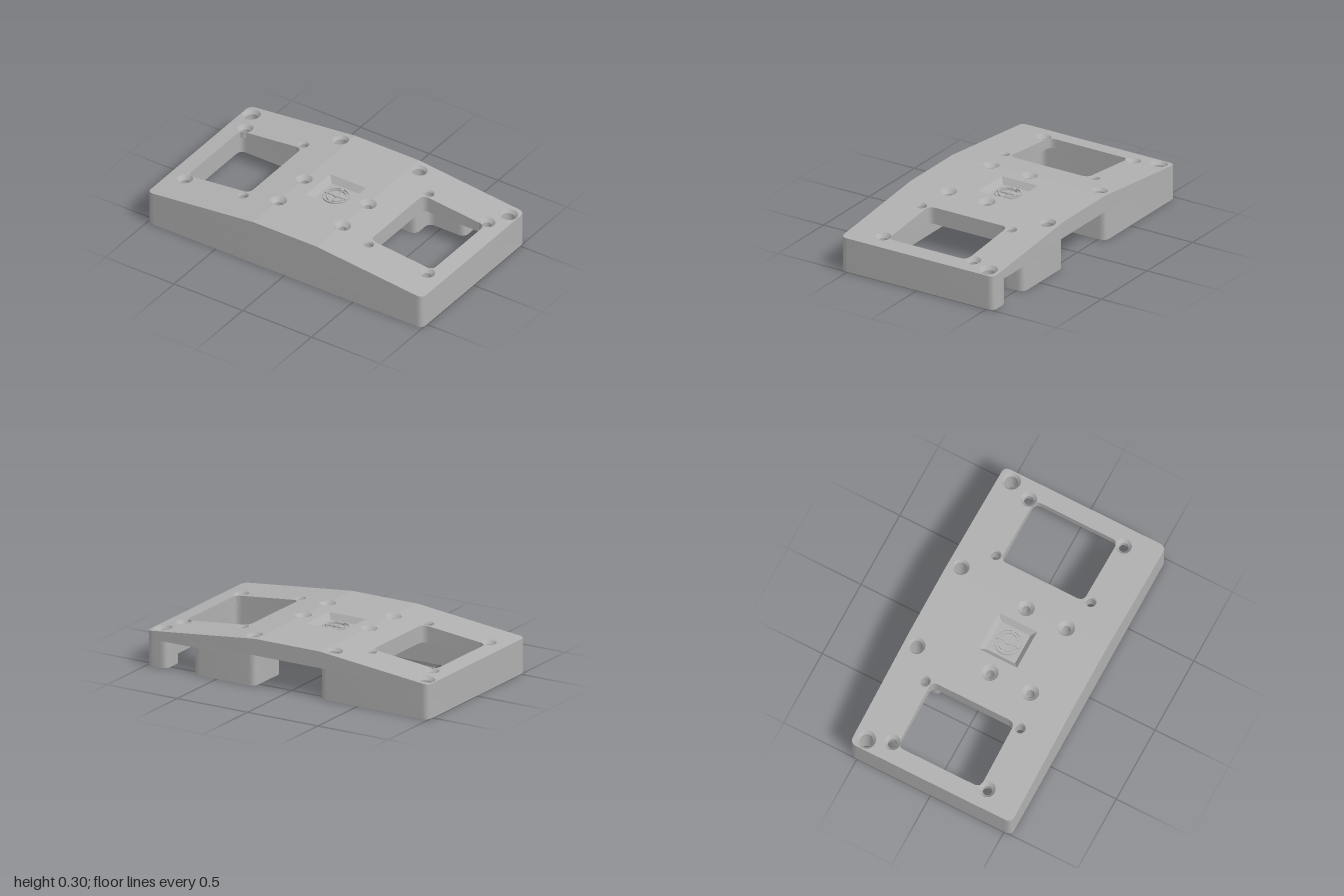
import * as THREE from 'three';
import { toCreasedNormals } from 'three/addons/utils/BufferGeometryUtils.js';

const CEILING = 0.17, MID = 0.195, TOP = 0.3, BEND = 0.23;
const drop = x => Math.max(0, Math.abs(x) - BEND) * 0.08 / (1 - BEND);

// Plan coordinates are [x, v] with v = -z, so the back edge is v = 0.55.
// Screw holes: x, v, countersink radius, bore radius, goes through the walls
const holes = [];
for (const s of [-1, 1]) {
  holes.push([s * 0.935, 0.47, 0.058, 0.04, true], [s * 0.285, 0.47, 0.052, 0.038, true]);
  for (const t of [-1, 1]) {
    holes.push([s * 0.88, t * 0.323, 0.05, 0.029, false], [s * 0.456, t * 0.323, 0.034, 0.027, false]);
  }
  holes.push([s * 0.233, 0, 0.053, 0.025, false], [s * 0.233, -0.275, 0.053, 0.025, false]);
}

// Closed outline with rounded corners
function rounded(points, r, path = new THREE.Shape()) {
  const pts = points.map(p => new THREE.Vector2(...p));
  pts.forEach((p, i) => {
    const prev = pts[(i + pts.length - 1) % pts.length], next = pts[(i + 1) % pts.length];
    const a = prev.clone().sub(p).setLength(r).add(p);
    const b = next.clone().sub(p).setLength(r).add(p);
    if (i) path.lineTo(a.x, a.y); else path.moveTo(a.x, a.y);
    path.quadraticCurveTo(p.x, p.y, b.x, b.y);
  });
  path.closePath();
  return path;
}
const rect = (x0, x1, v0, v1) => [[x0, v0], [x1, v0], [x1, v1], [x0, v1]];

function drill(shape, x, v, r) {
  const p = new THREE.Path();
  p.absarc(x, v, r, 0, Math.PI * 2, true);
  shape.holes.push(p);
}

// Extrude a plan shape between two heights
function layer(shape, y0, y1) {
  const g = new THREE.ExtrudeGeometry(shape, { depth: y1 - y0, bevelEnabled: false, curveSegments: 12 });
  g.rotateX(-Math.PI / 2).translate(0, y0, 0);
  g.deleteAttribute('uv');
  return g.index ? g.toNonIndexed() : g;
}

// Cut all triangles along the plane x = c
function splitAt(geo, c) {
  const pos = geo.attributes.position, out = [];
  for (let i = 0; i < pos.count; i += 3) {
    const tri = [0, 1, 2].map(k => new THREE.Vector3().fromBufferAttribute(pos, i + k));
    for (const side of [-1, 1]) {
      const poly = [];
      tri.forEach((a, k) => {
        const b = tri[(k + 1) % 3], da = (a.x - c) * side, db = (b.x - c) * side;
        if (da >= 0) poly.push(a);
        if (da * db < 0) poly.push(a.clone().lerp(b, da / (da - db)));
      });
      for (let k = 1; k < poly.length - 1; k++) {
        for (const p of [poly[0], poly[k], poly[k + 1]]) out.push(p.x, p.y, p.z);
      }
    }
  }
  const g = new THREE.BufferGeometry();
  g.setAttribute('position', new THREE.Float32BufferAttribute(out, 3));
  return g;
}

// Slope the upper surface down towards both ends
function bend(geo) {
  const pos = geo.attributes.position;
  for (let i = 0; i < pos.count; i++) {
    if (pos.getY(i) > MID + 0.001) pos.setY(i, pos.getY(i) - drop(pos.getX(i)));
  }
  return geo;
}

// Smooth round walls, keep the upper facets flat
function finishTop(geo) {
  const flat = geo.clone();
  flat.computeVertexNormals();
  const g = toCreasedNormals(geo, 0.5), f = flat.attributes.normal;
  for (let i = 0; i < f.count; i++) {
    if (f.getY(i) > 0.9) g.attributes.normal.setXYZ(i, f.getX(i), f.getY(i), f.getZ(i));
  }
  return g;
}

export function createModel() {
  const group = new THREE.Group();
  group.name = 'mountingCover';
  const grey = new THREE.MeshStandardMaterial({ color: 0xb0b0b0, side: THREE.DoubleSide });
  grey.name = 'plainGrey';
  const add = (name, geo, parent = group) => {
    const m = new THREE.Mesh(geo, grey);
    m.name = name;
    parent.add(m);
    return m;
  };
  const windows = shape => {
    for (const s of [-1, 1]) {
      const xs = s > 0 ? [0.44, 0.89] : [-0.89, -0.44];
      shape.holes.push(rounded(rect(...xs, -0.28, 0.285), 0.045, new THREE.Path()));
    }
  };

  // Outer wall with a corner post and an inner tab beside the rear opening
  const wall = rounded([
    [0.86, 0.55], [1, 0.55], [1, -0.55], [-1, -0.55], [-1, 0.55], [-0.23, 0.55], [-0.23, 0.25],
    [-0.41, 0.25], [-0.41, 0.39], [-0.96, 0.39], [-0.96, -0.39], [0.96, -0.39], [0.96, 0.39], [0.86, 0.39],
  ], 0.045);
  // Separate rear block between the cable notch and the rear opening
  const block = rounded([
    [0.67, 0.55], [0.23, 0.55], [0.23, 0.25], [0.41, 0.25], [0.41, 0.39], [0.67, 0.39],
  ], 0.045);
  for (const [x, v, , bore, through] of holes) {
    if (through) drill(x > 0 && x < 0.5 ? block : wall, x, v, bore);
  }
  add('outerWall', toCreasedNormals(layer(wall, 0, CEILING), 0.5));
  add('rearBlock', toCreasedNormals(layer(block, 0, CEILING), 0.5));

  // Ceiling layer, higher over the rear opening
  const ceiling = rounded([
    [-1, -0.55], [1, -0.55], [1, 0.55], [0.23, 0.55], [0.23, 0.18], [-0.23, 0.18], [-0.23, 0.55], [-1, 0.55],
  ], 0.045);
  windows(ceiling);
  for (const [x, v, , bore] of holes) drill(ceiling, x, v, bore);
  add('ceiling', toCreasedNormals(layer(ceiling, CEILING, MID), 0.5));

  // Sloped top plate with windows, screw openings and the square recess
  const top = rounded(rect(-1, 1, -0.55, 0.55), 0.045);
  windows(top);
  for (const [x, v, sink] of holes) drill(top, x, v, sink);
  const square = new THREE.Path();
  rect(-0.13, 0.13, -0.13, 0.13).forEach(([x, v], i) => (i ? square.lineTo(x, v) : square.moveTo(x, v)));
  square.closePath();
  top.holes.push(square);
  const topGeo = splitAt(splitAt(layer(top, MID, TOP), -BEND), BEND);
  add('topPlate', finishTop(bend(topGeo)));

  // Countersinks and bores
  for (const [x, v, sink, bore] of holes) {
    const depth = Math.min(0.028, sink - bore + 0.005);
    const profile = [[bore, MID], [bore, TOP - depth], [sink, TOP]].map(p => new THREE.Vector2(...p));
    const g = new THREE.LatheGeometry(profile, 24).translate(x, 0, -v);
    add('countersink', toCreasedNormals(bend(g), 0.5));
  }

  // Raised pad under the middle
  const pad = rounded(rect(-0.29, 0.29, -0.325, 0.15), 0.02);
  for (const [x, v, , bore, through] of holes) {
    if (!through && Math.abs(x) < 0.3) drill(pad, x, v, bore);
  }
  add('underPad', toCreasedNormals(layer(pad, 0.14, CEILING), 0.5));

  // Square recess with sloped sides and a flat floor
  const floorY = 0.262;
  const sides = new THREE.CylinderGeometry(0.13 * Math.SQRT2, 0.1 * Math.SQRT2, TOP - floorY, 4, 1, true)
    .rotateY(Math.PI / 4).translate(0, (TOP + floorY) / 2, 0).toNonIndexed();
  sides.computeVertexNormals();
  add('recessSides', sides);
  add('recessFloor', new THREE.BoxGeometry(0.2, 0.02, 0.2).translate(0, floorY - 0.01, 0));

  // Round relief: rim, inner ring, hub and four studs on spokes
  const relief = new THREE.Group();
  relief.name = 'roundRelief';
  relief.position.y = floorY;
  group.add(relief);
  for (const [r, w] of [[0.083, 0.007], [0.062, 0.005]]) {
    const ring = new THREE.Shape().absarc(0, 0, r, 0, Math.PI * 2);
    drill(ring, 0, 0, r - w);
    add('ring', toCreasedNormals(layer(ring, 0, 0.01), 0.5), relief);
  }
  add('hub', new THREE.CylinderGeometry(0.016, 0.016, 0.014, 20).translate(0, 0.007, 0), relief);
  for (let i = 0; i < 4; i++) {
    const spoke = new THREE.Group();
    spoke.name = 'spoke';
    spoke.rotation.y = i * Math.PI / 2;
    relief.add(spoke);
    add('bar', new THREE.BoxGeometry(0.06, 0.006, 0.007).translate(0.035, 0.003, 0), spoke);
    add('stud', new THREE.CylinderGeometry(0.01, 0.01, 0.012, 14).translate(0.068, 0.006, 0), spoke);
  }
  return group;
}
